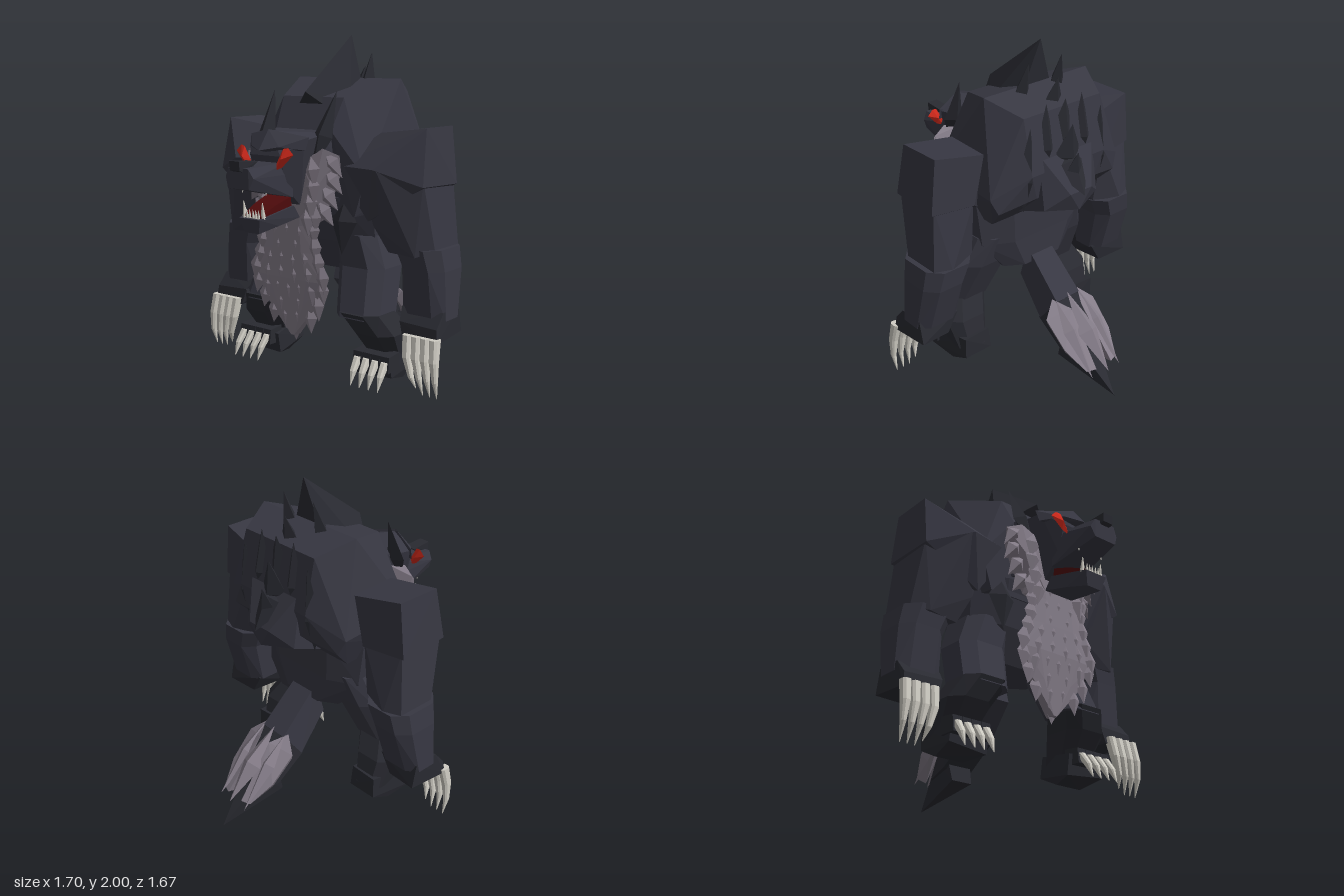
import * as THREE from 'three';
import { ConvexGeometry } from 'three/addons/geometries/ConvexGeometry.js';
import { mergeGeometries } from 'three/addons/utils/BufferGeometryUtils.js';

const V = (p) => new THREE.Vector3(...p);

// Faceted solid around points; sym also adds the points mirrored in x
function hull(points, sym = false) {
  const all = sym ? points.concat(points.filter((p) => p[0] !== 0).map(([x, y, z]) => [-x, y, z])) : points;
  return new ConvexGeometry(all.map(V));
}

// Stack of chamfered horizontal sections [x, y, z, halfWidth, halfDepth]
function limb(sections, c = 0.55) {
  const ring = ([x, y, z, w, d]) =>
    [[1, c], [c, 1], [-c, 1], [-1, c], [-1, -c], [-c, -1], [c, -1], [1, -c]].map(([a, b]) => [x + a * w, y, z + b * d]);
  const parts = [];
  for (let i = 0; i + 1 < sections.length; i++) parts.push(hull([...ring(sections[i]), ...ring(sections[i + 1])]));
  return mergeGeometries(parts);
}

// Pointed diamond blade from base to tip; its flat side faces the hint direction
function shard(base, tip, w, t, hint = [0, 0, 1], belly = 0.4) {
  const b = V(base), d = V(tip).sub(b);
  const side = d.clone().cross(V(hint)).normalize();
  const n = side.clone().cross(d).normalize();
  const m = b.clone().addScaledVector(d, belly);
  return new ConvexGeometry([b, V(tip),
    m.clone().addScaledVector(side, w), m.clone().addScaledVector(side, -w),
    m.clone().addScaledVector(n, t), m.clone().addScaledVector(n, -t)]);
}

export function createModel() {
  const model = new THREE.Group();
  const mat = (name, color) => Object.assign(new THREE.MeshStandardMaterial({ color }), { name });
  const fur = mat('slate fur', 0x373742);
  const dark = mat('dark fur', 0x292a31);
  const grey = mat('grey mane', 0x857d89);
  const bone = mat('bone', 0xcfccc3);
  const red = mat('red eye', 0xd42a1c);
  const mouth = mat('mouth red', 0x4e0b0c);

  const add = (name, geo, m, parent = model) => {
    const mesh = new THREE.Mesh(geo, m);
    mesh.name = name;
    parent.add(mesh);
    return mesh;
  };

  // Torso
  add('upperBack', hull([[0.375, 1.75, -0.14], [0.28, 1.67, -0.35], [0.22, 1.65, 0.19], [0.48, 1.24, -0.31], [0.44, 1.15, -0.33],
    [0.41, 1.45, -0.1], [0.37, 1.4, 0.15], [0.41, 1.22, 0.25], [0.2, 1.47, 0.28], [0.27, 1.35, -0.41], [0.22, 1.2, -0.39],
    [0.38, 1.02, -0.2], [0.34, 1, 0.25]], true), fur);
  add('backWedge', hull([[0.2, 1.45, -0.38], [0.08, 1.22, -0.51], [0.2, 1.13, -0.43], [0, 1.1, -0.5], [0.25, 1.06, -0.2]], true), fur);
  add('belly', limb([[0, 1.1, 0.03, 0.41, 0.24], [0, 0.84, 0, 0.38, 0.2], [0, 0.66, -0.05, 0.24, 0.15]]), fur);
  add('neck', hull([[0.25, 1.5, 0.12], [0.18, 1.46, 0.34], [0.25, 1.15, 0.15], [0.16, 1.1, 0.36]], true), fur);

  // Spines along the back
  add('mainSpine', hull([[0, 2, -0.17], [0.165, 1.63, 0.06], [0, 1.68, 0.26], [0.1, 1.6, 0.2], [0.1, 1.72, -0.14], [0, 1.6, -0.1]], true), dark);
  [[1.5, -0.22, 1.82, -0.31, 0.09], [1.35, -0.32, 1.72, -0.37, 0.1], [1.28, -0.36, 1.59, -0.43, 0.1], [1.15, -0.4, 1.44, -0.48, 0.09]]
    .forEach(([y0, z0, y1, z1, w]) => add('backSpine', shard([0, y0, z0], [0, y1, z1], w, 0.06), dark));
  add('lowSpine', shard([0, 1.45, -0.32], [0, 1.2, -0.54], 0.13, 0.06), dark);

  // Parts that come in left and right pairs
  for (const s of [1, -1]) {
    const half = new THREE.Group();
    half.name = s > 0 ? 'leftSide' : 'rightSide';
    model.add(half);
    const P = (pts) => pts.map(([x, ...r]) => [x * s, ...r]);
    const pair = (name, geo, m) => add(name, geo, m, half);
    const sh = (a, b, ...r) => shard(...P([a, b]), ...r);

    // Side spines along the shoulder blades
    pair('sideSpine', sh([0.14, 1.5, -0.1], [0.12, 1.9, -0.21], 0.07, 0.06), dark);
    pair('sideSpine', sh([0.14, 1.3, -0.36], [0.13, 1.72, -0.36], 0.07, 0.05), dark);
    pair('sideSpine', sh([0.28, 1.12, -0.35], [0.26, 1.62, -0.38], 0.07, 0.05), dark);

    // Arm
    pair('shoulder', hull(P([[0.72, 1.5, 0.12], [0.715, 1.5, -0.15], [0.41, 1.46, 0.1], [0.43, 1.46, -0.2], [0.5, 1.28, 0.31],
      [0.74, 1.19, 0.18], [0.75, 1.18, -0.15], [0.5, 1.18, -0.2], [0.2, 1.28, 0.25], [0.41, 0.98, 0.22], [0.4, 1.1, -0.1]])), fur);
    pair('upperArm', hull(P([[0.36, 1.25, 0.26], [0.52, 1.27, 0.3], [0.73, 1.22, 0.16], [0.73, 1.22, -0.14], [0.5, 1.2, -0.19], [0.42, 0.95, 0.18],
      [0.48, 0.8, 0.12], [0.68, 0.8, 0.16], [0.76, 0.83, 0.08], [0.76, 0.83, -0.16], [0.66, 0.83, -0.2], [0.48, 0.85, -0.14]])), fur);
    pair('forearm', limb(P([[0.635, 0.84, -0.03, 0.155, 0.175], [0.67, 0.72, -0.03, 0.14, 0.16], [0.685, 0.45, 0, 0.14, 0.11]])), fur);
    pair('hand', hull(P([[0.55, 0.5, 0.08], [0.55, 0.46, -0.08], [0.82, 0.5, 0.08], [0.82, 0.5, -0.08], [0.58, 0.43, 0.15], [0.82, 0.42, 0.15],
      [0.61, 0.33, 0.16], [0.83, 0.34, 0.16], [0.62, 0.34, -0.08], [0.82, 0.36, -0.11]])), dark);
    for (let i = 0; i < 4; i++) {
      const x = 0.645 + i * 0.058, tip = 0.7 + i * 0.045, y = i === 0 ? 0.07 : 0.04;
      pair('handClaw', limb(P([[x, 0.37, 0.16, 0.026, 0.032], [x + 0.01, 0.25, 0.185, 0.023, 0.028],
        [(x + tip) / 2 + 0.01, 0.14, 0.185, 0.014, 0.018], [tip, y, 0.16, 0.002, 0.002]])), bone);
    }

    // Leg
    pair('thigh', limb(P([[0.24, 0.88, 0.01, 0.15, 0.17], [0.3, 0.7, 0.04, 0.16, 0.15], [0.35, 0.43, 0.15, 0.15, 0.14]])), fur);
    pair('shin', limb(P([[0.36, 0.46, 0.16, 0.14, 0.14], [0.42, 0.34, 0.09, 0.14, 0.15], [0.43, 0.17, 0.0, 0.1, 0.11]])), dark);
    pair('foot', hull(P([[0.29, 0.2, 0.18], [0.55, 0.22, 0.2], [0.29, 0.08, 0.16], [0.55, 0.1, 0.18], [0.34, 0.25, -0.1],
      [0.52, 0.25, -0.11], [0.33, 0.12, -0.11], [0.52, 0.12, -0.11], [0.34, 0.06, 0.02], [0.52, 0.06, 0.02]])), dark);
    for (let i = 0; i < 4; i++) {
      const x = 0.345 + i * 0.062;
      pair('toe', hull([-0.03, 0.03].flatMap((d) => [[0.24, 0.12], [0.23, 0.22], [0.14, 0.23], [0.14, 0.12]].map(([y, z]) => [s * (x + d), y, z]))), dark);
      pair('footClaw', limb(P([[x, 0.2, 0.21, 0.021, 0.03], [x + 0.005, 0.13, 0.265, 0.017, 0.022], [x + 0.008, 0.05, 0.3, 0.002, 0.002]])), bone);
    }

    // Ear, cheek fur and chest tuft
    pair('ear', sh([0.19, 1.28, 0.42], [0.225, 1.69, 0.26], 0.065, 0.04), dark);
    pair('cheek', hull(P([[0.18, 1.38, 0.34], [0.24, 1.385, 0.4], [0.33, 1.35, 0.37], [0.31, 1.25, 0.33], [0.26, 1.12, 0.33], [0.2, 0.98, 0.35],
      [0.1, 0.92, 0.38], [0.1, 1, 0.43], [0.11, 1.3, 0.43], [0.2, 1.15, 0.435]])), grey);
    [[1.36, 0.31], [1.27, 0.31], [1.18, 0.28], [1.09, 0.25]].forEach(([y, x]) => {
      pair('cheekTuft', sh([x * 0.8, y, 0.39], [x + 0.04, y - 0.13, 0.37], 0.05, 0.035), grey);
      pair('cheekTuft', sh([x * 0.55, y - 0.02, 0.42], [x * 0.65, y - 0.2, 0.43], 0.055, 0.03), grey);
    });
    pair('chestTuft', sh([0.27, 1.1, 0.24], [0.26, 0.78, 0.26], 0.09, 0.05), dark);

    // Brow, eye and teeth
    pair('brow', hull(P([[0, 1.38, 0.65], [0, 1.49, 0.57], [0.21, 1.45, 0.48], [0.2, 1.38, 0.5], [0.1, 1.4, 0.6], [0, 1.36, 0.55]])), fur);
    pair('eye', hull(P([[0.09, 1.275, 0.62], [0.095, 1.32, 0.61], [0.14, 1.395, 0.61], [0.17, 1.4, 0.605], [0.205, 1.365, 0.605],
      [0.135, 1.295, 0.615], [0.14, 1.34, 0.635], [0.14, 1.34, 0.59]])), red);
    pair('upperFang', limb(P([[0.085, 1.24, 0.68, 0.014, 0.016], [0.085, 1.15, 0.69, 0.002, 0.002]])), bone);
    pair('lowerFang', limb(P([[0.065, 1.02, 0.69, 0.014, 0.014], [0.068, 1.11, 0.7, 0.002, 0.002]])), bone);
    for (let i = 0; i < 3; i++) {
      pair('tooth', limb(P([[0.012 + i * 0.02, 1.02, 0.71, 0.009, 0.009], [0.012 + i * 0.02, 1.07, 0.715, 0.001, 0.001]])), bone);
    }

    // Tail side fur
    pair('tailSide', hull(P([[0.1, 0.5, -0.4], [0.19, 0.42, -0.45], [0.18, 0.28, -0.6], [0.12, 0.17, -0.72], [0.06, 0.17, -0.74],
      [0.04, 0.46, -0.5], [0.16, 0.37, -0.43], [0.15, 0.24, -0.57], [0.08, 0.14, -0.68]])), grey);
    pair('tailTuft', sh([0.09, 0.5, -0.42], [0.11, 0.14, -0.76], 0.05, 0.04, [0, 1, -1]), grey);
  }

  // Head, snout and jaw
  add('skull', hull([[0.19, 1.46, 0.28], [0.19, 1.43, 0.5], [0, 1.48, 0.56], [0.16, 1.34, 0.5], [0.12, 1.22, 0.34], [0.1, 1.18, 0.55],
    [0.11, 1.35, 0.6], [0.1, 1.06, 0.42]], true), fur);
  add('snout', hull([[0.1, 1.32, 0.5], [0.07, 1.3, 0.81], [0.1, 1.25, 0.8], [0.075, 1.19, 0.81], [0.11, 1.12, 0.5], [0.11, 1.25, 0.5]], true), fur);
  add('nose', hull([[0.035, 1.34, 0.84], [0.035, 1.29, 0.835], [0.04, 1.33, 0.7], [0.03, 1.27, 0.78]], true), dark);
  add('lowerJaw', hull([[0.075, 1.02, 0.73], [0.05, 0.94, 0.71], [0.1, 1.07, 0.48], [0.1, 1.0, 0.43], [0.08, 0.97, 0.58]], true), fur);
  add('mouthFloor', hull([[0.065, 1.035, 0.71], [0.085, 1.12, 0.49], [0.085, 1.06, 0.48], [0.065, 1.02, 0.71], [0.075, 1.085, 0.6]], true), mouth);

  // Mane: thin core covered by rows of overlapping tufts
  const outline = [[1.1, 0.2], [0.95, 0.17], [0.8, 0.19], [0.64, 0.25], [0.48, 0.17], [0.3, 0.02]];
  const zAt = (y) => 0.35 + 0.05 * Math.min(1, Math.max(0, (y - 0.27) / 0.4));
  add('maneCore', limb(outline.map(([y, w]) => [0, y, zAt(y), w, 0.03])), grey);
  const widthAt = (y) => {
    const i = Math.max(1, outline.findIndex(([oy]) => oy <= y));
    const [[y0, w0], [y1, w1]] = [outline[i - 1], outline[i]];
    return w0 + ((w1 - w0) * (y - y0)) / (y1 - y0);
  };
  for (let r = 0; r < 8; r++) {
    const y = 0.43 + r * 0.083, w = widthAt(y), n = Math.max(3, Math.round(w / 0.035) - (r % 2));
    for (let i = 0; i < n; i++) {
      const x = w * ((2 * i) / (n - 1) - 1);
      add('maneTuft', shard([x * 0.95, y + 0.1, zAt(y) + 0.01], [x * 1.1, y - 0.08 - 0.02 * (i % 2), zAt(y) + 0.015], 0.05, 0.024, [0, 0, 1], 0.55), grey);
    }
  }
  add('maneTip', shard([0, 0.55, 0.37], [0, 0.26, 0.35], 0.1, 0.03), grey);

  // Tail
  add('tailBase', hull([[0.08, 0.74, -0.16], [0.08, 0.53, -0.1], [0.09, 0.49, -0.43], [0.1, 0.32, -0.3]], true), fur);
  add('tailCore', hull([[0.08, 0.49, -0.42], [0.1, 0.32, -0.29], [0.1, 0.19, -0.48], [0.06, 0.34, -0.58], [0.06, 0.16, -0.66]], true), dark);
  add('tailTip', hull([[0.08, 0.23, -0.46], [0.07, 0.11, -0.43], [0.07, 0.25, -0.6], [0, 0.005, -0.835]], true), dark);
  add('tailCrest', shard([0, 0.52, -0.42], [0, 0.15, -0.78], 0.07, 0.05, [0, 1, -1], 0.5), grey);

  return model;
}
